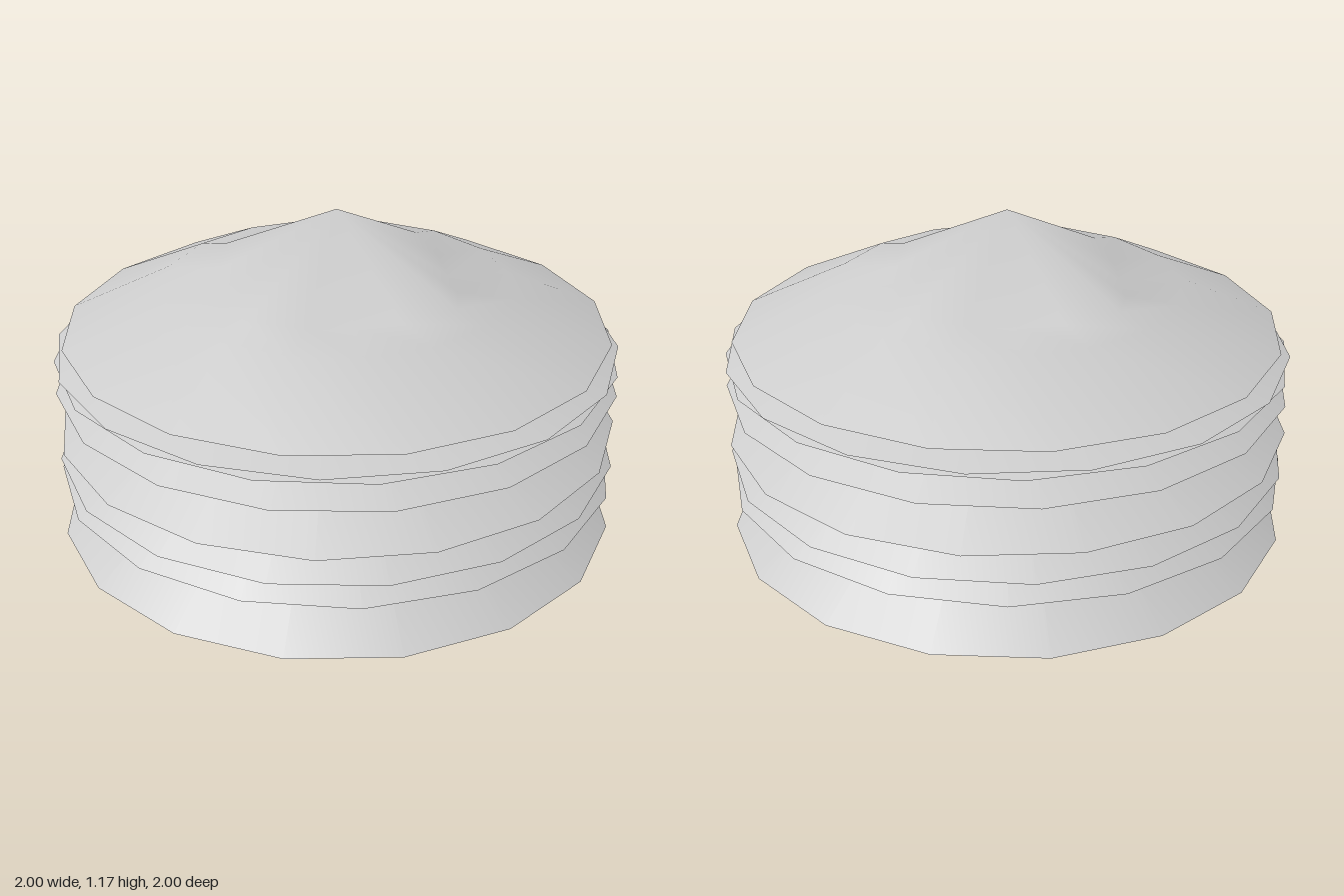
import * as THREE from 'three';
import { mergeVertices } from 'three/addons/utils/BufferGeometryUtils.js';

const SIDES = 16;
const rad = THREE.MathUtils.degToRad;
const material = new THREE.MeshStandardMaterial({ color: 0xcccccc, side: THREE.DoubleSide });

// Lower tiers: rim height, apex height, rim radius, turn in degrees
const TIERS = [
  [0.00, 0.76, 1.0, 10],
  [0.20, 0.97, 1.0, 2],
  [0.28, 1.00, 1.0, 7],
  [0.38, 1.00, 1.0, 16],
  [0.55, 1.12, 1.0, 8],
  [0.65, 1.05, 1.0, 5],
  [0.67, 1.05, 1.0, 17],
];

// Open sixteen-sided cone standing on its rim
function tier([rimY, apexY, radius, turn]) {
  const height = apexY - rimY;
  const geometry = new THREE.ConeGeometry(radius, height, SIDES, 1, true);
  geometry.translate(0, height / 2 + rimY, 0);
  geometry.rotateY(rad(turn));
  return new THREE.Mesh(geometry, material);
}

// Top roof: wide skirt, shallow shelf and a four-cornered peak
function roofGeometry() {
  const profile = [[0.97, 0.73], [0.62, 0.895], [0.5, 0.925], [0, 1.17]];
  const lathe = new THREE.LatheGeometry(profile.map(([r, y]) => new THREE.Vector2(r, y)), SIDES);
  const pos = lathe.attributes.position;
  const v = new THREE.Vector3();
  const up = new THREE.Vector3(0, 1, 0);
  for (let i = 0; i < pos.count; i++) {
    v.fromBufferAttribute(pos, i);
    const row = i % profile.length;
    const column = Math.floor(i / profile.length);
    if (row === 2) {
      // pull the shelf's inner edge in and down between the four corners
      const dent = [0, 0.7, 1, 0.7][column % 4];
      v.multiply(new THREE.Vector3(1 - 0.2 * dent, 1, 1 - 0.2 * dent));
      v.y -= 0.03 * dent;
    }
    v.applyAxisAngle(up, rad(row === 0 ? 10 : 6));
    pos.setXYZ(i, v.x, v.y, v.z);
  }
  lathe.deleteAttribute('normal');
  lathe.deleteAttribute('uv');
  const geometry = mergeVertices(lathe, 1e-4);
  geometry.computeVertexNormals();
  return geometry;
}

export function createModel() {
  const model = new THREE.Group();
  model.name = 'tieredRoof';
  TIERS.forEach((spec, i) => {
    const mesh = tier(spec);
    mesh.name = `tier${i + 1}`;
    model.add(mesh);
  });
  const roof = new THREE.Mesh(roofGeometry(), material);
  roof.name = 'peakedTop';
  model.add(roof);
  return model;
}
